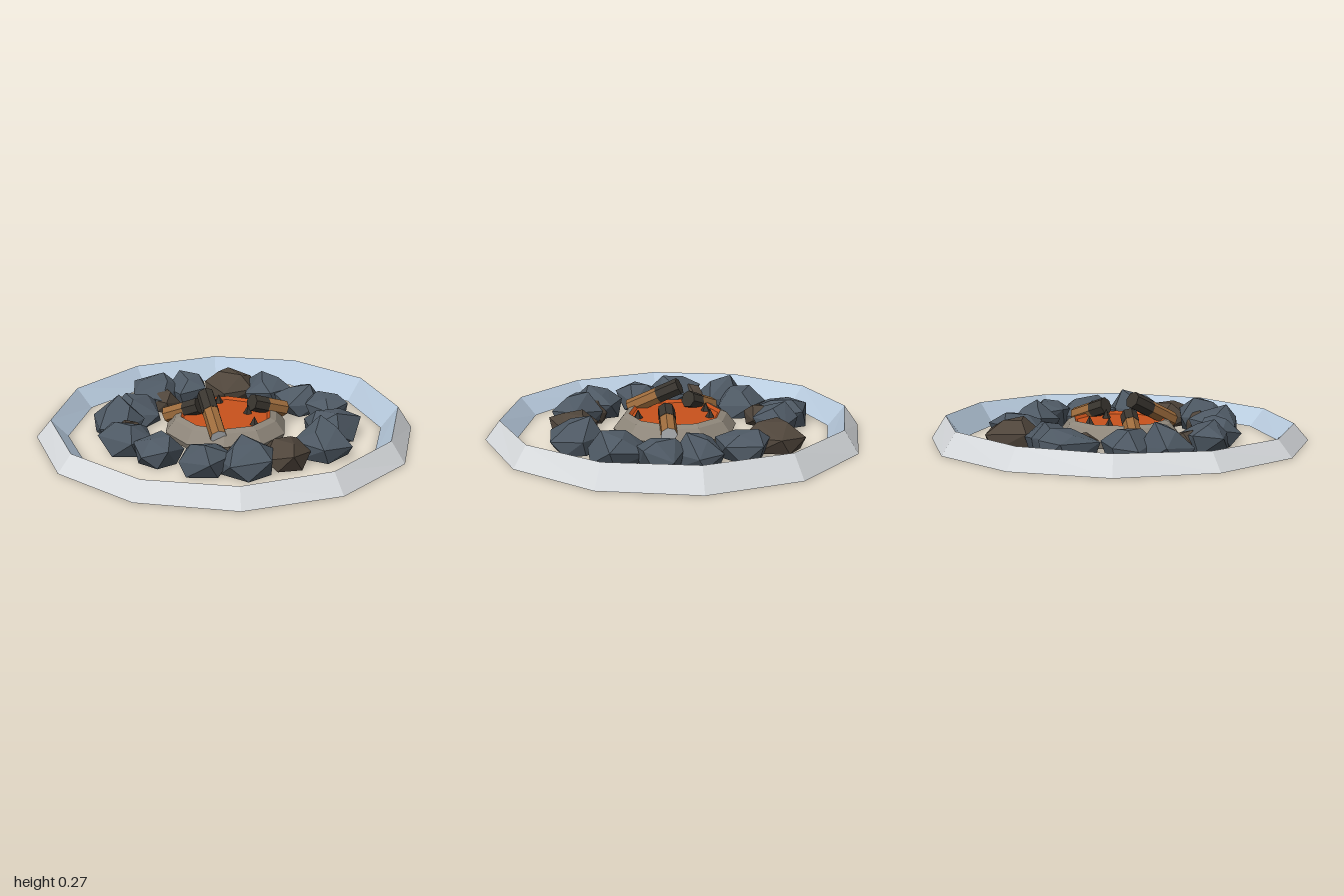
import * as THREE from 'three';
import { ConvexGeometry } from 'three/addons/geometries/ConvexGeometry.js';

const mat = (name, color) => {
  const m = new THREE.MeshStandardMaterial({ color });
  m.name = name;
  return m;
};

// Faceted look: one normal per face
const flat = (geo) => {
  const g = geo.index ? geo.toNonIndexed() : geo;
  g.computeVertexNormals();
  return g;
};

function seeded(seed) {
  let s = seed;
  return () => (s = (s * 16807) % 2147483647) / 2147483647;
}

const lathe = (points, sides, startDeg) => new THREE.LatheGeometry(
  points.map(([r, y]) => new THREE.Vector2(r, y)), sides, THREE.MathUtils.degToRad(startDeg));

export function createModel() {
  const group = new THREE.Group();
  const snow = mat('snow', 0xd8dbde);
  const ice = mat('paleBlue', 0xbacde0);
  const slate = mat('slateRock', 0x4e5964);
  const earth = mat('brownRock', 0x4f453b);
  const ash = mat('ashStone', 0x8f877b);
  const ember = mat('ember', 0xc9521c);
  const wood = mat('wood', 0x9c6b3c);
  const char = mat('charcoal', 0x39352f);

  const add = (name, geo, material, parent = group) => {
    const mesh = new THREE.Mesh(geo, material);
    mesh.name = name;
    parent.add(mesh);
    return mesh;
  };

  // Outer bank: twelve sides, rim a little higher at the back
  const tilt = (geo) => {
    const p = geo.attributes.position;
    for (let i = 0; i < p.count; i++) p.setY(i, p.getY(i) * (1 - 0.17 * p.getZ(i)));
    return flat(geo);
  };
  add('outerBank', tilt(lathe([[0.85, 0], [1.02, 0], [0.942, 0.108]], 12, 18)), snow);
  add('innerBank', tilt(lathe([[0.942, 0.108], [0.85, 0]], 12, 18)), ice);

  // Hearth: ten-sided stone dish with a glowing bed
  add('hearthBase', flat(lathe(
    [[0, 0], [0.32, 0], [0.335, 0.035], [0.285, 0.1], [0.25, 0.115]], 10, 6)), ash);
  add('emberBed', flat(lathe([[0.25, 0.115], [0.235, 0.1], [0, 0.1]], 10, 6)), ember);

  // Small coals on the bed
  [[-0.16, -0.11], [-0.18, 0.01], [0.21, 0], [0.07, -0.1]].forEach(([x, z], i) => {
    const coal = add('coal', flat(new THREE.ConeGeometry(0.027, 0.05, 5)), char);
    coal.position.set(x, 0.122, z);
    coal.rotation.y = i;
  });

  // Logs: outer end, charred inner end
  const up = new THREE.Vector3(0, 1, 0);
  const logs = [
    [[0.145, 0.09, -0.31], [0.09, 0.165, -0.11]],
    [[-0.28, 0.075, 0.18], [-0.11, 0.15, 0.095]],
    [[0.18, 0.09, 0.24], [-0.06, 0.228, 0.095]],
  ];
  for (const [a, b] of logs) {
    const from = new THREE.Vector3(...a), to = new THREE.Vector3(...b);
    const length = from.distanceTo(to);
    const log = new THREE.Group();
    log.name = 'log';
    log.position.copy(from);
    log.quaternion.setFromUnitVectors(up, to.clone().sub(from).normalize());
    const split = length * 0.58;
    const cyl = (r, h, y) => {
      const g = new THREE.CylinderGeometry(r, r, h, 7).translate(0, y, 0);
      const groups = g.groups.slice();
      const f = flat(g);
      f.clearGroups();
      groups.forEach((q) => f.addGroup(q.start, q.count, q.materialIndex));
      return f;
    };
    add('logWood', cyl(0.045, split, split / 2), [wood, wood, snow], log);
    add('logChar', cyl(0.047, length - split, (length + split) / 2), [char, char, char], log);
    group.add(log);
  }

  // Rock ring: x, z, radius, height, material
  const rocks = [
    [-0.38, -0.44, 0.16, 0.2, earth], [-0.18, -0.53, 0.14, 0.18, slate],
    [0.07, -0.53, 0.13, 0.18, slate], [0.26, -0.53, 0.13, 0.19, slate],
    [0.44, -0.35, 0.16, 0.18, slate], [0.58, -0.12, 0.15, 0.2, slate],
    [0.53, 0.11, 0.13, 0.17, earth], [0.46, 0.33, 0.14, 0.21, slate],
    [0.29, 0.46, 0.14, 0.17, slate], [0.03, 0.53, 0.13, 0.18, slate],
    [-0.19, 0.54, 0.14, 0.18, slate], [-0.42, 0.4, 0.14, 0.19, slate],
    [-0.47, 0.22, 0.14, 0.18, slate], [-0.61, -0.05, 0.16, 0.17, slate],
    [-0.5, -0.21, 0.12, 0.2, slate], [-0.49, -0.01, 0.08, 0.13, earth],
    [-0.27, 0.45, 0.08, 0.13, earth], [0.36, 0.34, 0.08, 0.14, earth],
  ];
  rocks.forEach(([x, z, r, h, material], i) => {
    const rnd = seeded(977 * (i + 3));
    for (let k = 0; k < 4; k++) rnd();
    const points = [];
    const turn = rnd() * 6.28;
    // Rings of corners: foot, shoulder and a sloping top
    [[5, 0.85, 0, 0], [5, 1.03, 0.45, 0.3], [3, 0.5, 0.86, 0.28]].forEach(([n, s, y, dy], ring) => {
      for (let k = 0; k < n; k++) {
        const a = turn + ring * 0.35 + (k + (rnd() - 0.5) * 0.4) * 2 * Math.PI / n;
        const d = r * s * (0.9 + rnd() * 0.2);
        const py = Math.min(1, y + (rnd() - 0.5) * dy) * h;
        points.push(new THREE.Vector3(Math.cos(a) * d, py, Math.sin(a) * d));
      }
    });
    add('rock', flat(new ConvexGeometry(points)), material).position.set(x, 0, z);
  });

  return group;
}
